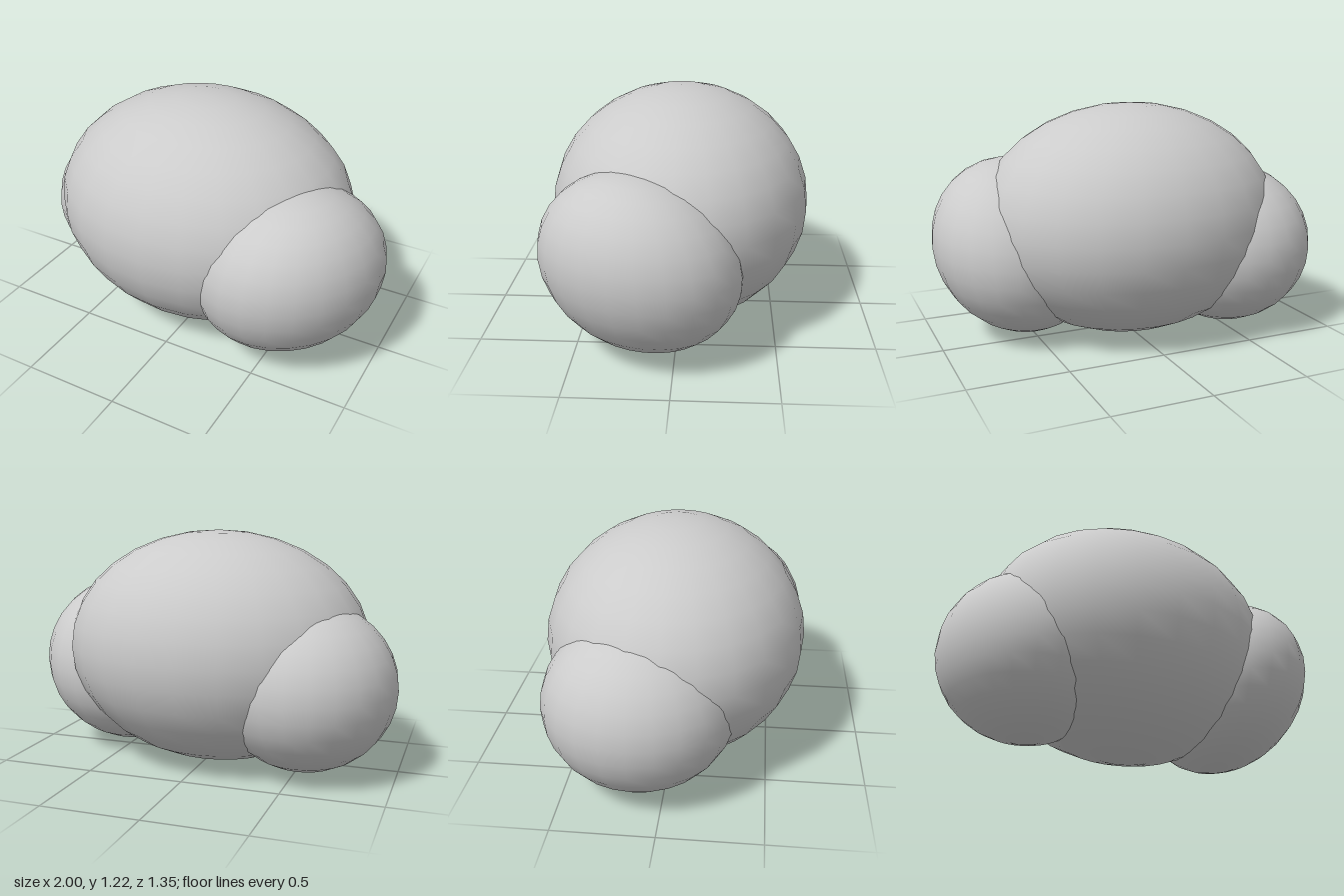
import * as THREE from 'three';

const material = new THREE.MeshStandardMaterial({ color: 0xcccccc });

// Ellipsoid: radii along the axes plus a slight skew [xy, xz, yz] that tilts the lobe
function lobe(name, [x, y, z], [rx, ry, rz], [xy, xz, yz] = [0, 0, 0]) {
  const geometry = new THREE.SphereGeometry(1, 24, 16);
  geometry.applyMatrix4(new THREE.Matrix4().set(
    rx, xy, xz, 0,
    xy, ry, yz, 0,
    xz, yz, rz, 0,
    0, 0, 0, 1
  ));
  const mesh = new THREE.Mesh(geometry, material);
  mesh.name = name;
  mesh.position.set(x, y, z);
  return mesh;
}

export function createModel() {
  const group = new THREE.Group();
  group.name = 'lobedBlob';

  // Large central body
  group.add(lobe('body', [-0.03, 0.612, 0], [0.81, 0.608, 0.675]));
  // Side lobe pushed forward, slightly tilted
  group.add(lobe('leftLobe', [0.54, 0.48, 0.17], [0.46, 0.455, 0.5], [0.022, -0.026, 0.025]));
  // Smaller side lobe pushed back
  group.add(lobe('rightLobe', [-0.54, 0.455, -0.13], [0.46, 0.432, 0.482]));

  return group;
}
